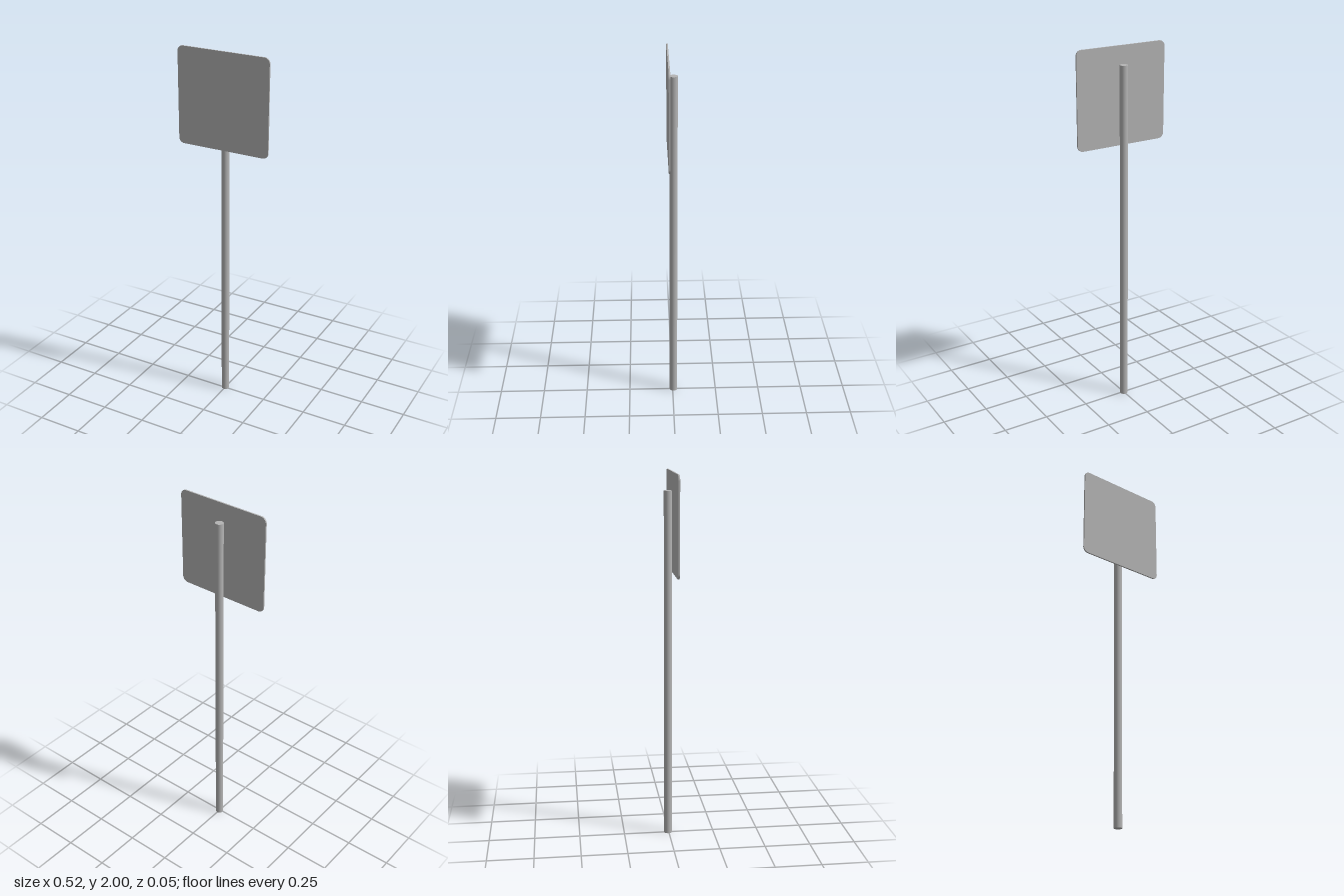
import * as THREE from 'three';

const grey = new THREE.MeshStandardMaterial({ name: 'grey metal', color: 0xb4b4b4 });

// Rounded square outline centred on the origin
function roundedSquare(size, r) {
  const h = size / 2, c = h - r;
  const s = new THREE.Shape();
  s.absarc(c, c, r, 0, Math.PI / 2);
  s.absarc(-c, c, r, Math.PI / 2, Math.PI);
  s.absarc(-c, -c, r, Math.PI, Math.PI * 1.5);
  s.absarc(c, -c, r, Math.PI * 1.5, Math.PI * 2);
  s.closePath();
  return s;
}

export function createModel() {
  const group = new THREE.Group();
  group.name = 'signpost';

  // Round pole, ending a little below the top of the plate
  const poleHeight = 1.904;
  const pole = new THREE.Mesh(new THREE.CylinderGeometry(0.0215, 0.0215, poleHeight, 32), grey);
  pole.name = 'pole';
  pole.position.set(0, poleHeight / 2, -0.0045);
  group.add(pole);

  // Thin blank plate mounted on the front of the pole
  const size = 0.521;
  const plate = new THREE.Mesh(
    new THREE.ExtrudeGeometry(roundedSquare(size, 0.03), { depth: 0.008, bevelEnabled: false, curveSegments: 8 }),
    grey
  );
  plate.name = 'signPlate';
  plate.position.set(0, 2 - size / 2, 0.018);
  group.add(plate);

  return group;
}
